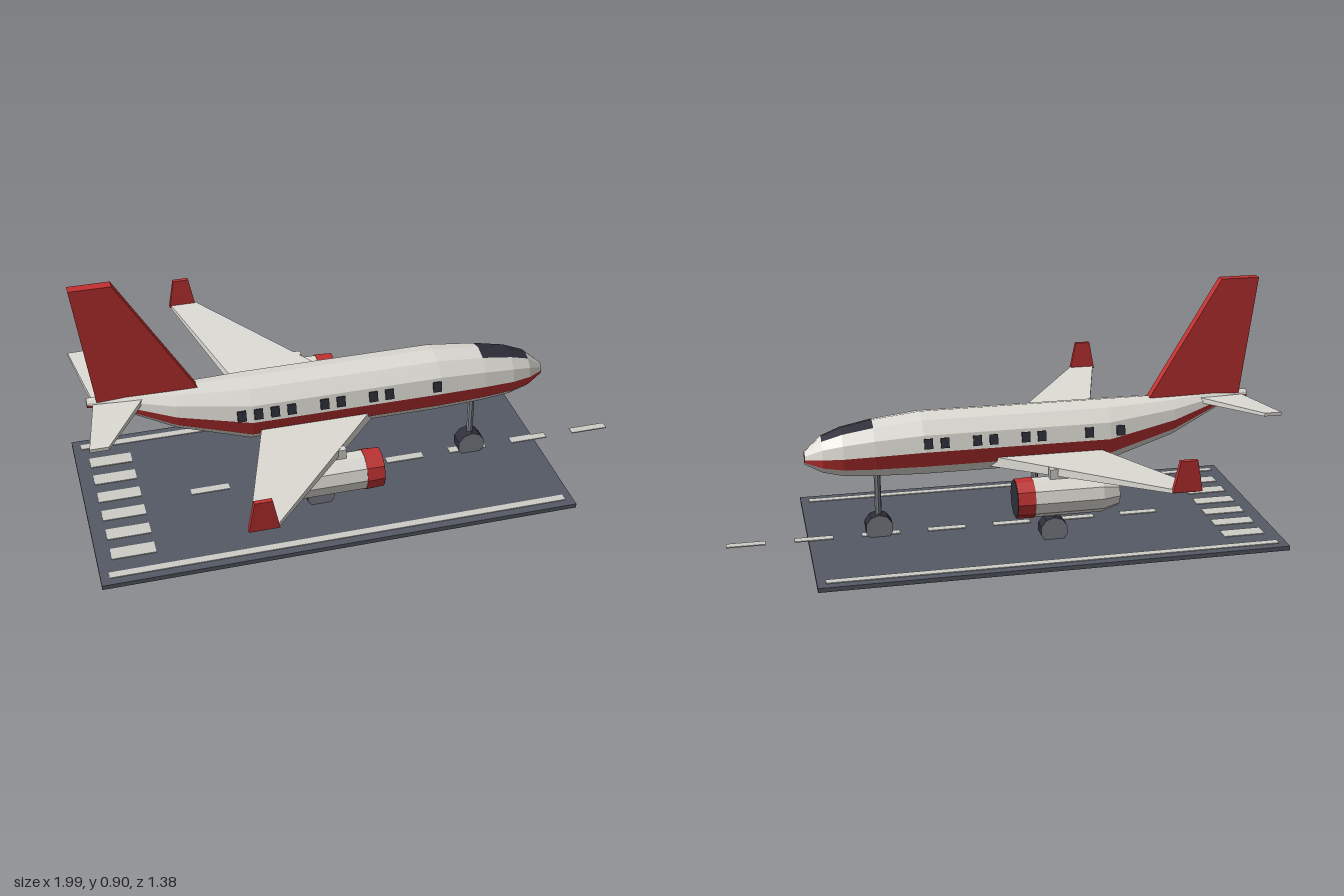
import * as THREE from 'three';

const paint = (name, color) => {
  const m = new THREE.MeshStandardMaterial({ color, flatShading: true });
  m.name = name;
  return m;
};

export function createModel() {
  const white = paint('warm white', 0xdedcd5);
  const red = paint('red', 0xc03232);
  const dark = paint('dark glass', 0x2e2e3a);
  const asphalt = paint('asphalt', 0x545a65);
  const lineWhite = paint('runway marking', 0xcdccc6);
  const steel = paint('steel grey', 0x80848c);

  const model = new THREE.Group();
  model.name = 'airplaneOnRunway';
  // everything is laid out along +x, then turned slightly
  const scene = new THREE.Group();
  scene.name = 'runwayAndAirplane';
  scene.position.set(-0.095, 0, 0.08);
  scene.rotation.y = -THREE.MathUtils.degToRad(14);
  model.add(scene);

  const plane = new THREE.Group();
  plane.name = 'airplane';
  const runway = new THREE.Group();
  runway.name = 'runway';
  scene.add(plane, runway);

  const add = (parent, name, geo, mat, x = 0, y = 0, z = 0) => {
    const mesh = new THREE.Mesh(geo, mat);
    mesh.name = name;
    mesh.position.set(x, y, z);
    parent.add(mesh);
    return mesh;
  };

  // closed flat-shaded skin through cross-sections; pick(i, j) gives a material index,
  // with i = -1 for the first cap and i = rings.length - 1 for the last
  const loft = (rings, pick = () => 0) => {
    const buckets = [];
    let volume = 0;
    const n = rings[0].length;
    const tri = (k, a, b, c) => {
      (buckets[k] ??= []).push([a, b, c]);
      volume += a.dot(b.clone().cross(c));
    };
    for (let i = 0; i < rings.length - 1; i++) {
      for (let j = 0; j < n; j++) {
        const k = (j + 1) % n;
        const a = rings[i][j], b = rings[i][k], c = rings[i + 1][k], d = rings[i + 1][j];
        tri(pick(i, j), a, c, b);
        tri(pick(i, j), a, d, c);
      }
    }
    const first = rings[0], last = rings[rings.length - 1];
    for (let j = 1; j < n - 1; j++) {
      tri(pick(-1, j), first[0], first[j], first[j + 1]);
      tri(pick(rings.length - 1, j), last[0], last[j + 1], last[j]);
    }
    const geo = new THREE.BufferGeometry();
    const points = [];
    buckets.forEach((tris, k) => {
      geo.addGroup(points.length, tris.length * 3, k);
      for (const [a, b, c] of tris) points.push(...(volume > 0 ? [a, b, c] : [a, c, b]));
    });
    geo.setFromPoints(points);
    geo.computeVertexNormals();
    return geo;
  };
  const V = (x, y, z) => new THREE.Vector3(x, y, z);
  // section of a wing: back and front x, height, thickness, z
  const wingSection = (x0, x1, y, h, z) =>
    [V(x0, y - h / 2, z), V(x1, y - h / 2, z), V(x1, y + h / 2, z), V(x0, y + h / 2, z)];
  // section of an upright fin: back and front x, height, centre z, thickness
  const finSection = (x0, x1, y, z, w) =>
    [V(x0, y, z - w / 2), V(x1, y, z - w / 2), V(x1, y, z + w / 2), V(x0, y, z + w / 2)];

  // fuselage: x, centre height, radius; twelve sides, stripe and cockpit are whole facets
  const hull = [
    [-0.79, 0.462, 0.016], [-0.68, 0.449, 0.030], [-0.50, 0.401, 0.075], [-0.25, 0.36, 0.115],
    [0.42, 0.36, 0.115], [0.59, 0.353, 0.103], [0.70, 0.346, 0.088], [0.77, 0.341, 0.066], [0.83, 0.331, 0.023],
  ];
  const hullRings = hull.map(([x, y, r]) => Array.from({ length: 12 }, (_, j) => {
    const a = (j * Math.PI) / 6;
    return V(x, y + r * Math.sin(a), r * Math.cos(a));
  }));
  add(plane, 'fuselage', loft(hullRings, (i, j) => {
    if (i === hull.length - 1) return 1;
    if (i < 0) return 0;
    if (j === 11 || j === 6) return 1;
    return (i === 5 || i === 6) && (j === 2 || j === 3) ? 2 : 0;
  }), [white, red, dark]);

  // cabin windows, with uneven gaps on each side
  const tilt = Math.PI / 12;
  const windowSlots = { 1: [0, 1, 2, 3, 5, 6, 8, 9, 12], '-1': [0, 2, 5, 6, 8, 9, 11, 12] };
  const pane = new THREE.BoxGeometry(0.03, 0.036, 0.009);

  // tail fin
  add(plane, 'tailFin', loft([
    finSection(-0.755, -0.405, 0.45, 0, 0.035), finSection(-0.814, -0.675, 0.9, 0, 0.035),
  ]), red);

  const wheel = new THREE.CylinderGeometry(0.05, 0.05, 0.055, 10).rotateX(Math.PI / 2);
  const landingGear = (name, x, z, top) => {
    const gear = new THREE.Group();
    gear.name = name;
    add(gear, 'strut', new THREE.CylinderGeometry(0.012, 0.012, top - 0.05, 8), steel, x, (top + 0.05) / 2, z);
    add(gear, 'wheel', wheel, [dark, steel, steel], x, 0.052, z);
    plane.add(gear);
  };
  landingGear('noseGear', 0.577, 0, 0.29);

  // nacelle profile pieces lie along +x
  const tube = (front, back, length) =>
    new THREE.CylinderGeometry(front, back, length, 10).rotateZ(-Math.PI / 2);

  for (const side of [1, -1]) {
    const label = side > 0 ? 'right' : 'left';
    for (const k of windowSlots[side]) {
      const w = add(plane, 'cabinWindow', pane, dark, -0.287 + 0.0577 * k,
        0.36 + 0.113 * Math.sin(tilt), side * 0.113 * Math.cos(tilt));
      w.rotation.x = -side * tilt;
    }
    add(plane, label + 'Wing', loft([
      wingSection(-0.205, 0.2, 0.292, 0.04, side * 0.05),
      wingSection(-0.391, -0.298, 0.38, 0.014, side * 0.69),
    ]), white);
    add(plane, label + 'Winglet', loft([
      finSection(-0.394, -0.296, 0.378, side * 0.69, 0.02),
      finSection(-0.375, -0.318, 0.485, side * 0.694, 0.016),
    ]), red);
    add(plane, label + 'Stabilizer', loft([
      wingSection(-0.77, -0.6, 0.453, 0.02, side * 0.015),
      wingSection(-0.816, -0.754, 0.476, 0.012, side * 0.295),
    ]), white);

    // engine
    const engine = new THREE.Group();
    engine.name = label + 'Engine';
    engine.position.set(0, 0.24, side * 0.305);
    plane.add(engine);
    add(engine, 'exhaustCone', tube(0.068, 0.05, 0.06), white, -0.19);
    add(engine, 'nacelle', tube(0.068, 0.068, 0.24), white, -0.04);
    add(engine, 'intakeRing', tube(0.068, 0.071, 0.06), red, 0.11);
    add(engine, 'intakeFace', tube(0.066, 0.066, 0.004), dark, 0.14);
    add(engine, 'pylon', new THREE.BoxGeometry(0.16, 0.05, 0.025), white, -0.06, 0.075);

    landingGear(label + 'MainGear', -0.03, side * 0.15, 0.31);
  }

  // runway slab and markings
  add(runway, 'slab', new THREE.BoxGeometry(1.66, 0.016, 0.825), asphalt, 0, 0.012, 0);
  const marking = (name, length, width, x, z) =>
    add(runway, name, new THREE.BoxGeometry(length, 0.004, width), lineWhite, x, 0.021, z);
  for (const side of [1, -1]) {
    marking('edgeLine', 1.6, 0.028, 0, side * 0.368);
    for (let i = 0; i < 3; i++) marking('thresholdBar', 0.15, 0.055, -0.705, side * (0.0525 + 0.105 * i));
  }
  for (let i = 0; i < 7; i++) marking('centreDash', 0.138, 0.03, -0.39 + 0.24 * i, 0);

  return model;
}
